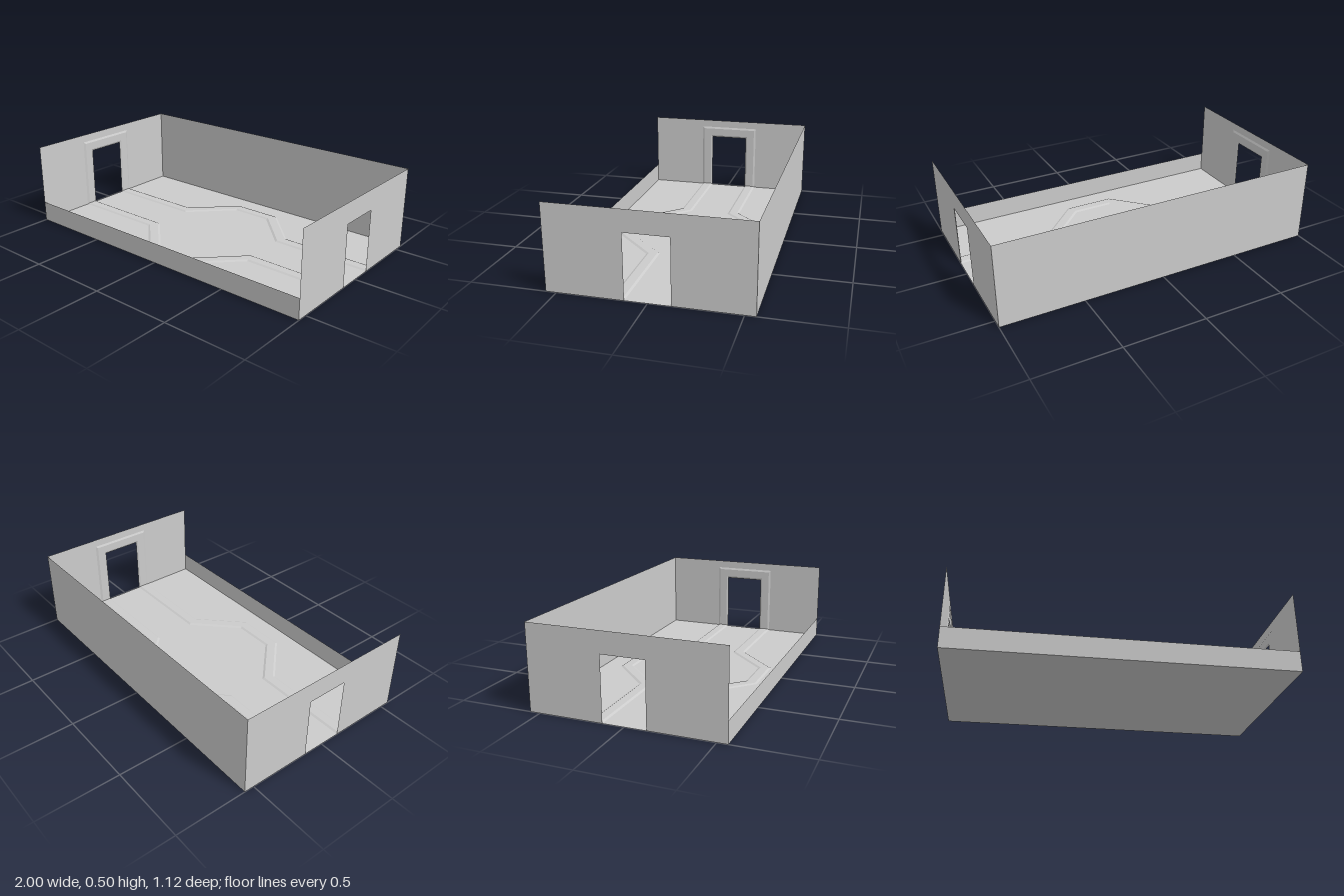
import * as THREE from 'three';

const HALF_X = 1, HALF_Z = 0.56, WALL_H = 0.5, FRONT_H = 0.125;
const DOOR_HALF = 0.125, DOOR_H = 0.375;

// Bevelled trim section: [outward offset, height above the surface]
const TRIM = [[0, 0], [0.0125, 0.0063], [0.0625, 0.0063], [0.075, 0]];

const material = new THREE.MeshStandardMaterial({
  color: 0xcccccc, flatShading: true, side: THREE.DoubleSide,
});

function addMesh(parent, name, geometry) {
  const mesh = new THREE.Mesh(geometry, material);
  mesh.name = name;
  parent.add(mesh);
  return mesh;
}

// Sweeps the trim section along a mitred path; pathAt(offset, height) returns its points
function trimGeometry(pathAt) {
  const rows = TRIM.map(([d, h]) => pathAt(d, h));
  const pos = [];
  for (let r = 0; r < rows.length - 1; r++) {
    for (let i = 0; i < rows[r].length - 1; i++) {
      const a = rows[r][i], b = rows[r + 1][i];
      const c = rows[r + 1][i + 1], d = rows[r][i + 1];
      pos.push(...a, ...b, ...c, ...a, ...c, ...d);
    }
  }
  const geometry = new THREE.BufferGeometry();
  geometry.setAttribute('position', new THREE.Float32BufferAttribute(pos, 3));
  geometry.computeVertexNormals();
  return geometry;
}

// Floor trim: straight runs with a 45 degree bulge in the middle
function floorPath(d, h) {
  const m = d * Math.tan(Math.PI / 8);
  const near = 0.125 + d, far = 0.375 + d;
  return [
    [-HALF_X, h, near], [-0.375 - m, h, near], [-0.125 - m, h, far],
    [0.125 + m, h, far], [0.375 + m, h, near], [HALF_X, h, near],
  ];
}

// Door trim: up, across and down around the opening in the -x wall
function doorPath(d, h) {
  const x = -HALF_X + h, z = DOOR_HALF + d, y = DOOR_H + d;
  return [[x, 0, -z], [x, y, -z], [x, y, z], [x, 0, z]];
}

export function createModel() {
  const room = new THREE.Group();
  room.name = 'room';

  // Floor
  addMesh(room, 'floor', new THREE.PlaneGeometry(2 * HALF_X, 2 * HALF_Z).rotateX(-Math.PI / 2));

  // Full back wall and low front wall
  addMesh(room, 'backWall', new THREE.PlaneGeometry(2 * HALF_X, WALL_H))
    .position.set(0, WALL_H / 2, -HALF_Z);
  addMesh(room, 'frontWall', new THREE.PlaneGeometry(2 * HALF_X, FRONT_H))
    .position.set(0, FRONT_H / 2, HALF_Z);

  // Side wall outline with the doorway cut from its bottom edge
  const outline = new THREE.Shape([
    [-HALF_Z, 0], [-DOOR_HALF, 0], [-DOOR_HALF, DOOR_H], [DOOR_HALF, DOOR_H],
    [DOOR_HALF, 0], [HALF_Z, 0], [HALF_Z, WALL_H], [-HALF_Z, WALL_H],
  ].map(([x, y]) => new THREE.Vector2(x, y)));
  const wallGeometry = new THREE.ShapeGeometry(outline)
    .rotateY(Math.PI / 2).translate(-HALF_X, 0, 0);
  const doorGeometry = trimGeometry(doorPath);
  const stripGeometry = trimGeometry(floorPath);

  // Each half repeats after a half turn
  for (const [side, strip, turn] of [['right', 'front', 0], ['left', 'back', Math.PI]]) {
    const half = new THREE.Group();
    half.name = side + 'Half';
    half.rotation.y = turn;
    addMesh(half, side + 'Wall', wallGeometry);
    addMesh(half, side + 'DoorFrame', doorGeometry);
    addMesh(half, strip + 'FloorTrim', stripGeometry);
    room.add(half);
  }
  return room;
}
